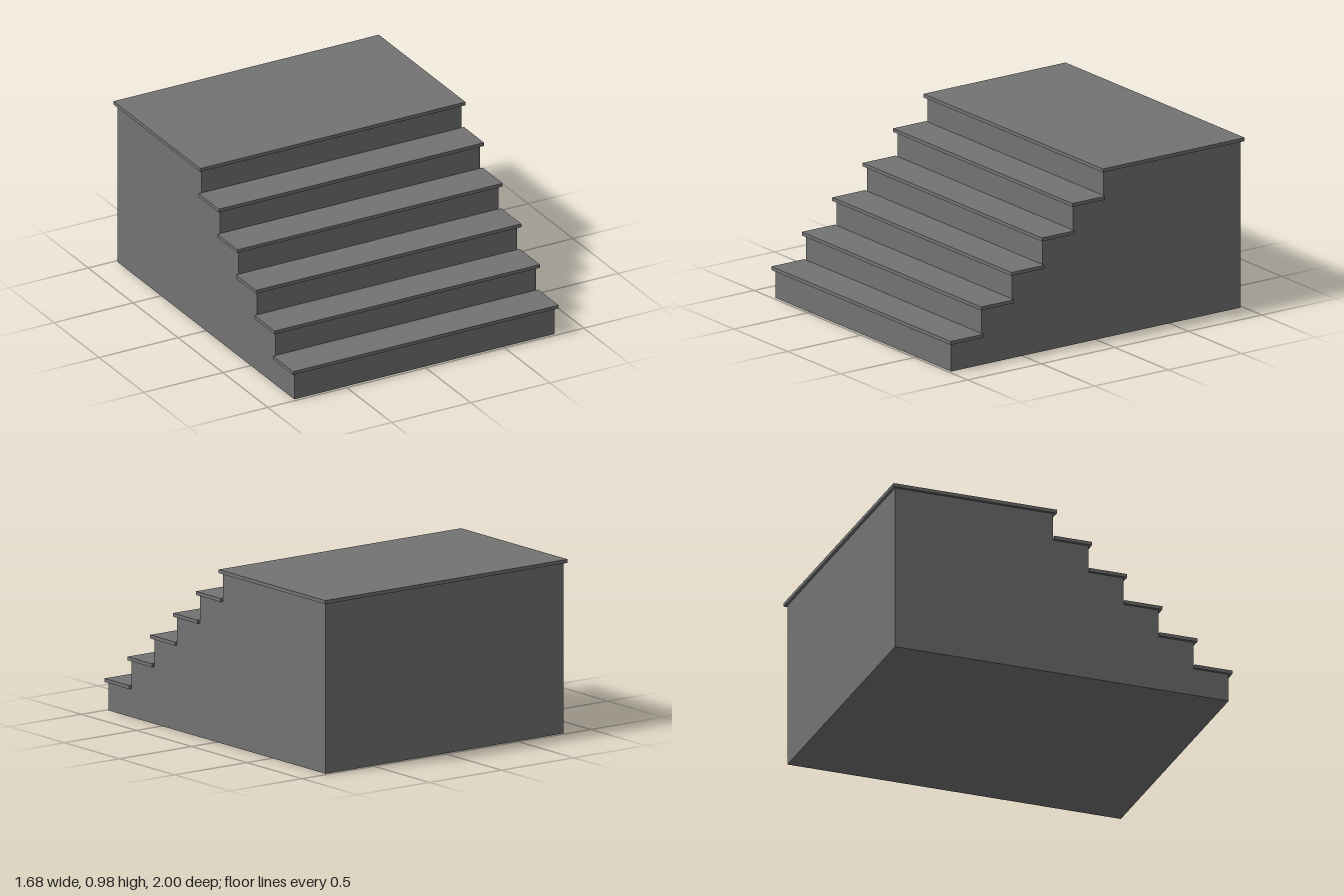
import * as THREE from 'three';

const STEPS = 6;
const RISE = 0.1605;      // height of each riser
const RUN = 0.207;        // depth of each step
const SLAB = 0.02;        // tread thickness
const NOSE = 0.0165;      // tread overhang
const BODY_WIDTH = 1.646;
const FRONT = 1 - NOSE;   // front face of the body
const BACK = -FRONT;

export function createModel() {
  const group = new THREE.Group();
  const material = new THREE.MeshStandardMaterial({ color: 0x737373 });

  // Solid stepped body: side profile (z, y) extruded across the width
  const profile = new THREE.Shape();
  profile.moveTo(BACK, 0);
  profile.lineTo(FRONT, 0);
  for (let i = 0; i < STEPS; i++) {
    const z = FRONT - i * RUN;
    profile.lineTo(z, (i + 1) * RISE);
    profile.lineTo(i < STEPS - 1 ? z - RUN : BACK, (i + 1) * RISE);
  }
  const bodyGeometry = new THREE.ExtrudeGeometry(profile, { depth: BODY_WIDTH, bevelEnabled: false });
  bodyGeometry.translate(0, 0, -BODY_WIDTH / 2);
  bodyGeometry.rotateY(-Math.PI / 2); // profile x becomes z
  const body = new THREE.Mesh(bodyGeometry, material);
  body.name = 'steppedBody';
  group.add(body);

  // Overhanging treads; the last one is the landing slab
  for (let i = 0; i < STEPS; i++) {
    const isLanding = i === STEPS - 1;
    const front = FRONT - i * RUN + NOSE;
    const back = isLanding ? BACK - NOSE : FRONT - (i + 1) * RUN;
    const tread = new THREE.Mesh(
      new THREE.BoxGeometry(BODY_WIDTH + 2 * NOSE, SLAB, front - back), material);
    tread.position.set(0, (i + 1) * RISE + SLAB / 2, (front + back) / 2);
    tread.name = isLanding ? 'landing' : `tread${i + 1}`;
    group.add(tread);
  }
  return group;
}
